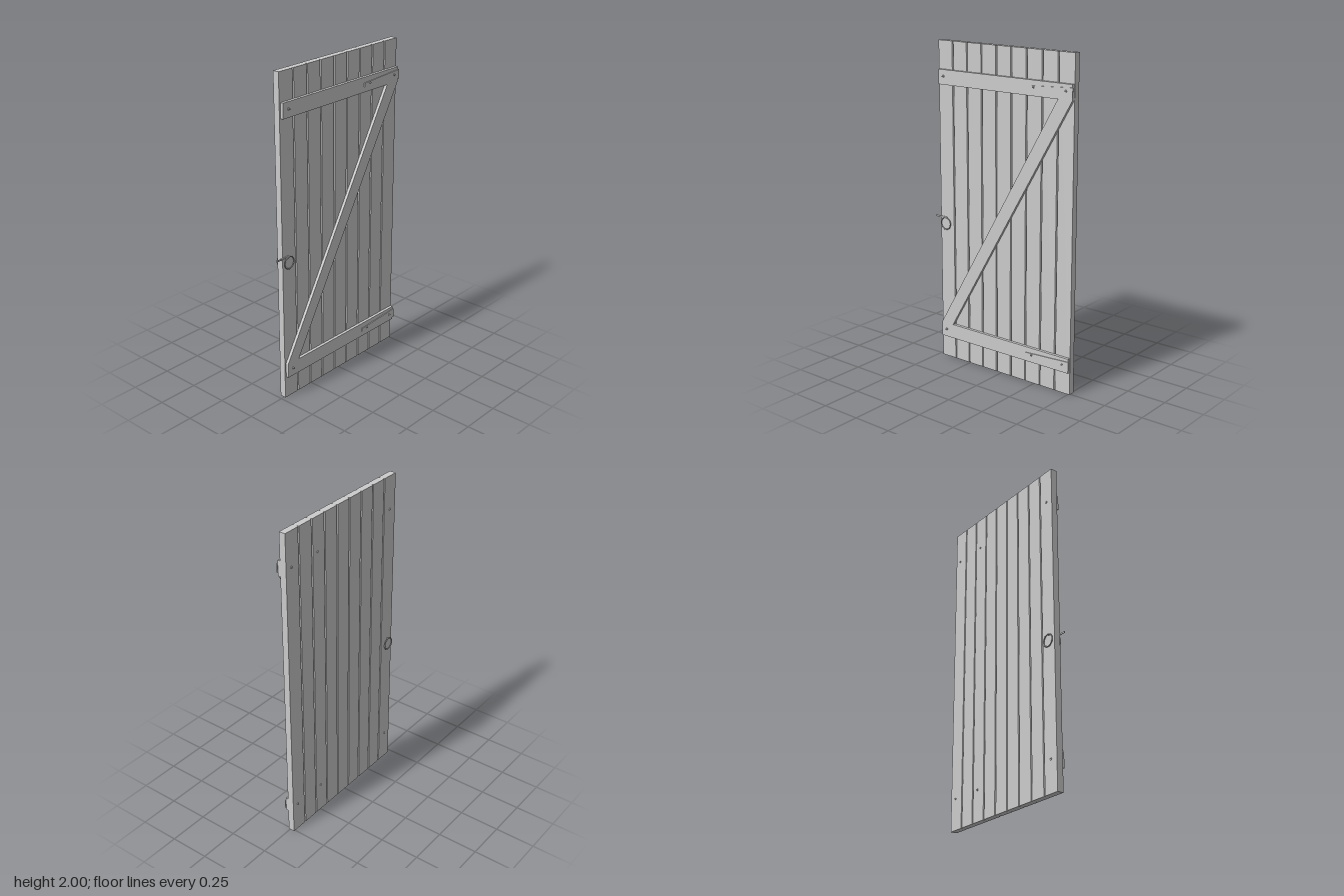
import * as THREE from 'three';

const grey = new THREE.MeshStandardMaterial({ color: 0xcccccc });

function add(parent, name, geometry, x = 0, y = 0, z = 0) {
  const mesh = new THREE.Mesh(geometry, grey);
  mesh.name = name;
  mesh.position.set(x, y, z);
  parent.add(mesh);
  return mesh;
}

// Extrudes an outline given as [z, y] points, from x0 to x0 + depth
function slabX(points, x0, depth) {
  const shape = new THREE.Shape(points.map(([z, y]) => new THREE.Vector2(-z, y)));
  const g = new THREE.ExtrudeGeometry(shape, { depth, bevelEnabled: false });
  return g.rotateY(Math.PI / 2).translate(x0, 0, 0);
}

// Cylinder lying along x between two x values
function rodX(radius, x0, x1, sides = 12) {
  return new THREE.CylinderGeometry(radius, radius, x1 - x0, sides)
    .rotateZ(Math.PI / 2).translate((x0 + x1) / 2, 0, 0);
}

export function createModel() {
  const door = new THREE.Group();
  door.name = 'plankDoor';

  // Planks with chamfered long edges, making V grooves on both faces
  const zBack = -0.51, zFront = 0.475, count = 9;
  const w = (zFront - zBack) / count, xl = -0.03, xr = 0.01, cx = 0.011, cz = 0.005;
  for (let i = 0; i < count; i++) {
    const a = zBack + i * w, b = a + w;
    const ca = i === 0 ? 0 : cz, cb = i === count - 1 ? 0 : cz;
    const outline = [[xl, a + ca], [xl, b - cb]];
    if (cb) outline.push([xl + cx, b], [xr - cx, b]);
    outline.push([xr, b - cb], [xr, a + ca]);
    if (ca) outline.push([xr - cx, a], [xl + cx, a]);
    const shape = new THREE.Shape(outline.map(([x, z]) => new THREE.Vector2(x, -z)));
    const g = new THREE.ExtrudeGeometry(shape, { depth: 2, bevelEnabled: false });
    add(door, 'plank' + (i + 1), g.rotateX(-Math.PI / 2));
  }

  // Diagonal brace between the two ledges
  const brace = [[0.465, 0.23], [0.375, 0.23], [-0.507, 1.74], [-0.41, 1.74]];
  add(door, 'diagonalBrace', slabX(brace, xr, 0.018));

  // Ledges with tapered hinge straps and through bolts
  for (const [label, y] of [['lower', 0.185], ['upper', 1.785]]) {
    const set = new THREE.Group();
    set.name = label + 'Ledge';
    set.position.y = y;
    door.add(set);
    add(set, 'ledge', new THREE.BoxGeometry(0.018, 0.09, 0.972), 0.019, 0, -0.021);
    const strap = [[-0.512, -0.028], [-0.512, 0.028], [-0.2, 0.011], [-0.2, -0.011]];
    add(set, 'hingeStrap', slabX(strap, 0.028, 0.005));
    for (const z of [-0.467, -0.245, 0.425]) {
      add(set, 'boltShank', rodX(0.004, -0.036, 0.041), 0, 0.005, z);
      add(set, 'boltNut', rodX(0.007, z > 0 ? 0.028 : 0.033, z > 0 ? 0.034 : 0.037, 6), 0, 0.005, z);
      add(set, 'boltHead', rodX(0.007, -0.034, -0.03), 0, 0.005, z);
    }
  }

  // Ring handles on both faces, joined by a spindle that turns the latch bar
  const latch = new THREE.Group();
  latch.name = 'latch';
  latch.position.set(0, 0.917, 0.43);
  door.add(latch);
  add(latch, 'spindle', rodX(0.004, -0.043, 0.022));
  for (const x of [-0.041, 0.02]) {
    const ring = new THREE.TorusGeometry(0.037, 0.0035, 8, 32).rotateY(Math.PI / 2);
    add(latch, 'ringHandle', ring, x, -0.037, 0);
  }
  add(latch, 'latchBar', new THREE.BoxGeometry(0.005, 0.009, 0.083), 0.0135, 0, 0.0415);

  return door;
}
